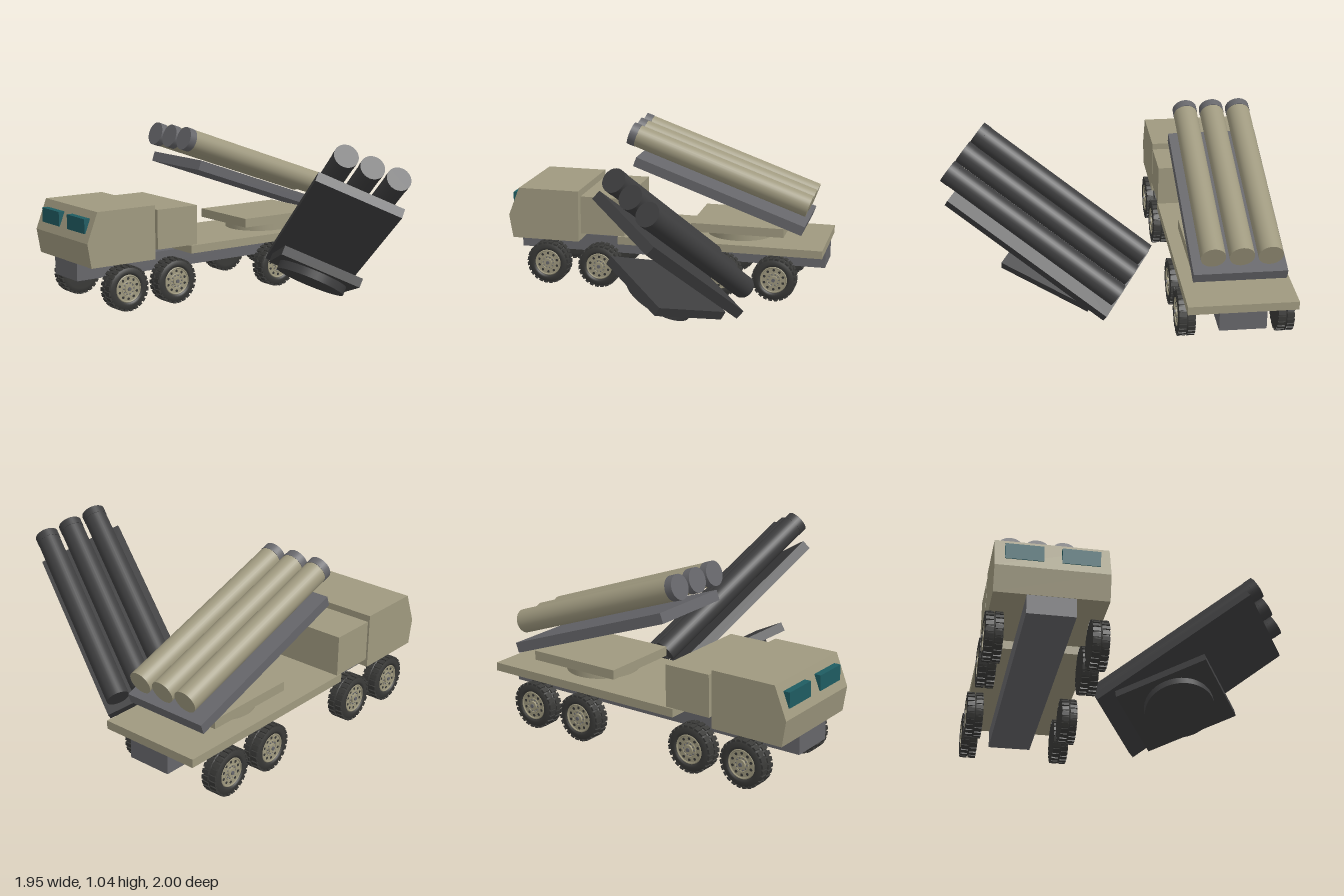
import * as THREE from 'three';

const mat = (name, color) => {
  const m = new THREE.MeshStandardMaterial({ color });
  m.name = name;
  return m;
};

export function createModel() {
  const sand = mat('sand paint', 0x9f997f);
  const steel = mat('grey steel', 0x66666a);
  const dark = mat('dark grey', 0x3e3e3f);
  const rubber = mat('tyre rubber', 0x393937);
  const glass = mat('teal glass', 0x1f5c62);

  const add = (parent, name, geo, m, x = 0, y = 0, z = 0) => {
    const mesh = new THREE.Mesh(geo, m);
    mesh.name = name;
    mesh.position.set(x, y, z);
    parent.add(mesh);
    return mesh;
  };
  const box = (parent, name, m, w, h, d, x, y, z) =>
    add(parent, name, new THREE.BoxGeometry(w, h, d), m, x, y, z);

  // Launcher: turntable, base plate, tilted platform and three tubes; origin under the turntable
  function launcher(name, body, trim) {
    const g = new THREE.Group();
    g.name = name;
    add(g, 'turntable', new THREE.CylinderGeometry(0.21, 0.21, 0.05, 40), body, 0, 0.025, 0);
    box(g, 'basePlate', body, 0.485, 0.055, 0.58, 0, 0.0775, -0.015);
    const tilt = new THREE.Group();
    tilt.name = 'tiltedRack';
    tilt.position.set(0, 0.29, 0.102);
    tilt.rotation.x = -THREE.MathUtils.degToRad(19.5);
    g.add(tilt);
    box(tilt, 'platform', trim, 0.52, 0.06, 1.12, 0, 0, 0);
    const tubeGeo = new THREE.CylinderGeometry(0.069, 0.069, 1.145, 32).rotateX(Math.PI / 2);
    const capGeo = new THREE.CylinderGeometry(0.071, 0.071, 0.048, 32).rotateX(Math.PI / 2);
    for (const x of [-0.158, 0, 0.158]) {
      add(tilt, 'tube', tubeGeo, body, x, 0.133, 0.037);
      add(tilt, 'tubeCap', capGeo, trim, x, 0.133, 0.6335);
    }
    return g;
  }

  // Wheel with its axle along x and the hub on +x
  const pts = [[0, -0.05], [0.1, -0.05], [0.122, -0.046], [0.129, -0.038], [0.129, -0.005],
    [0.124, -0.003], [0.124, 0.003], [0.129, 0.005], [0.129, 0.038], [0.122, 0.046],
    [0.1, 0.05], [0.086, 0.048], [0.083, 0.035], [0, 0.035]];
  const tyreGeo = new THREE.LatheGeometry(pts.map(p => new THREE.Vector2(...p)), 40).rotateZ(-Math.PI / 2);
  const disc = (r, h) => new THREE.CylinderGeometry(r, r, h, 24).rotateZ(-Math.PI / 2);
  const treadGeo = new THREE.BoxGeometry(0.041, 0.012, 0.023);
  const rimGeo = new THREE.TorusGeometry(0.079, 0.005, 6, 32).rotateY(Math.PI / 2);
  const plateGeo = disc(0.08, 0.006);
  const hubGeo = disc(0.026, 0.012), capGeo = disc(0.011, 0.01);
  const holeGeo = disc(0.008, 0.002), boltGeo = disc(0.004, 0.006);
  const ringGeo = new THREE.TorusGeometry(0.042, 0.003, 6, 28).rotateY(Math.PI / 2);

  function wheel() {
    const w = new THREE.Group();
    w.name = 'wheel';
    const tyre = add(w, 'tyre', tyreGeo, rubber);
    tyre.material = rubber;
    for (let row = 0; row < 2; row++) {
      for (let i = 0; i < 24; i++) {
        const a = ((i + row * 0.5) / 24) * Math.PI * 2;
        const t = add(w, 'tread', treadGeo, rubber, row ? 0.0255 : -0.0255,
          Math.cos(a) * 0.13, Math.sin(a) * 0.13);
        t.rotation.x = a;
      }
    }
    add(w, 'rimPlate', plateGeo, sand, 0.037);
    add(w, 'rimEdge', rimGeo, sand, 0.043);
    add(w, 'rimRing', ringGeo, sand, 0.041);
    add(w, 'hub', hubGeo, sand, 0.045);
    add(w, 'hubCap', capGeo, steel, 0.052);
    for (let i = 0; i < 10; i++) {
      const a = (i / 10) * Math.PI * 2;
      add(w, 'rimHole', holeGeo, rubber, 0.0405, Math.cos(a) * 0.061, Math.sin(a) * 0.061);
      add(w, 'bolt', boltGeo, steel, 0.042, Math.cos(a + 0.3) * 0.034, Math.sin(a + 0.3) * 0.034);
    }
    return w;
  }

  const model = new THREE.Group();
  model.name = 'launcherTruck';
  const truck = new THREE.Group();
  truck.name = 'truck';
  truck.position.x = -0.646;
  model.add(truck);

  // Chassis, bed and equipment box
  box(truck, 'chassis', steel, 0.262, 0.108, 1.97, 0, 0.232, -0.012);
  box(truck, 'bed', sand, 0.612, 0.049, 1.282, 0, 0.311, -0.357);
  box(truck, 'equipmentBox', sand, 0.612, 0.24, 0.282, 0, 0.46, 0.382);

  // Cab: side profile (z, y) extruded across the width
  const profile = [[0.54, 0.284], [0.975, 0.284], [1, 0.43], [0.93, 0.61], [0.54, 0.61]];
  const cabGeo = new THREE.ExtrudeGeometry(
    new THREE.Shape(profile.map(p => new THREE.Vector2(-p[0], p[1]))),
    { depth: 0.612, bevelEnabled: false });
  cabGeo.translate(0, 0, -0.306).rotateY(Math.PI / 2);
  add(truck, 'cab', cabGeo, sand);
  for (const s of [-1, 1]) {
    box(truck, 'windscreen', glass, 0.204, 0.087, 0.04, s * 0.15, 0.523, 0.966);
    for (const z of [0.74, 0.402, -0.367, -0.708]) {
      const w = wheel();
      w.position.set(s * 0.279, 0.137, z);
      if (s < 0) w.rotation.y = Math.PI;
      truck.add(w);
    }
  }

  // Mounted launcher
  const mounted = launcher('mountedLauncher', sand, steel);
  mounted.position.set(0, 0.335, -0.445);
  truck.add(mounted);

  // Loose dark launcher beside the truck
  const loose = launcher('looseLauncher', dark, dark);
  const up = new THREE.Vector3(-0.013, 0.872, -0.488).normalize();
  const side = new THREE.Vector3().crossVectors(up, new THREE.Vector3(0.832, 0.281, 0.478)).normalize();
  const forward = new THREE.Vector3().crossVectors(side, up);
  loose.quaternion.setFromRotationMatrix(new THREE.Matrix4().makeBasis(side, up, forward));
  loose.position.set(0.28, 0.167, -0.135);
  model.add(loose);

  return model;
}
